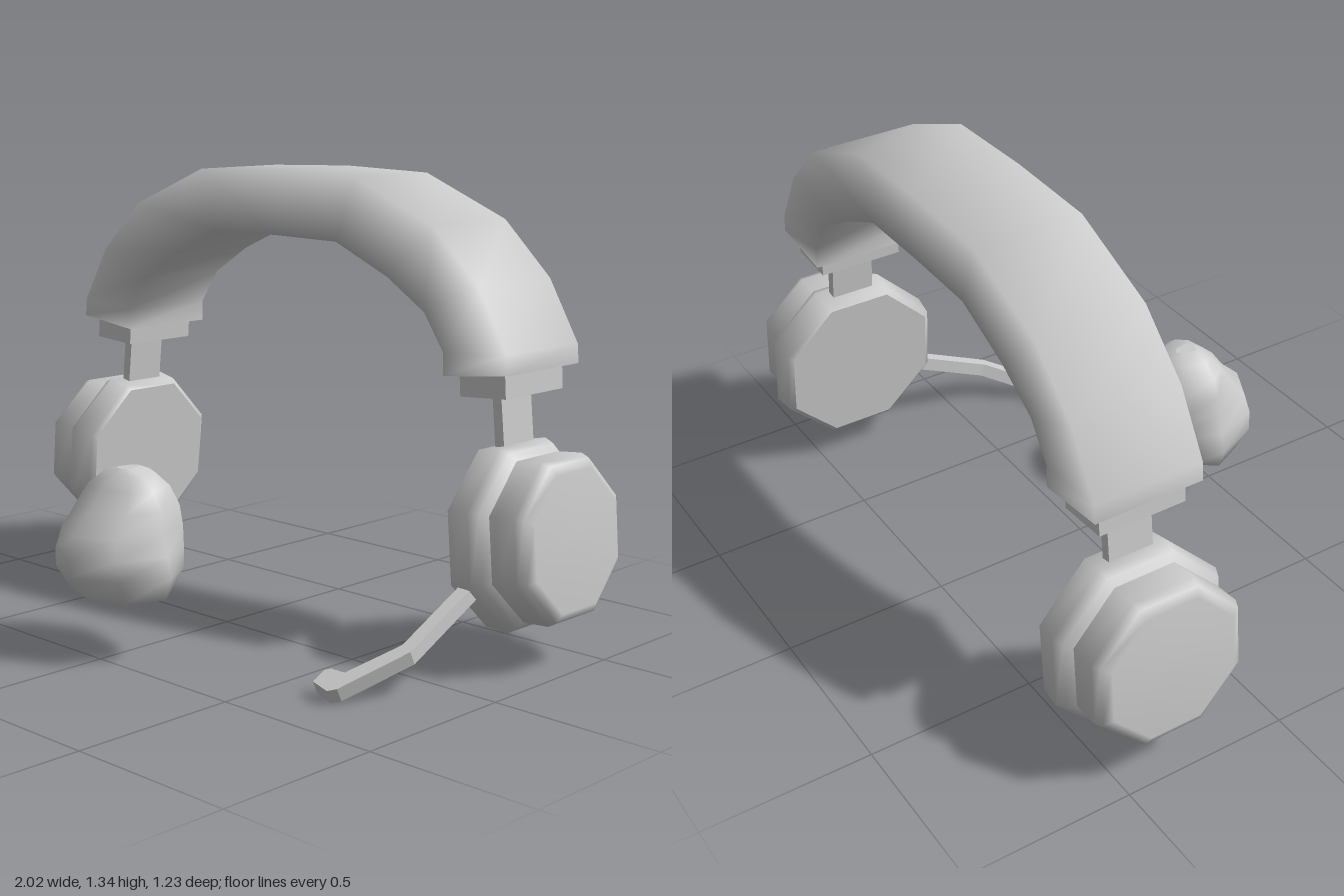
import * as THREE from 'three';

const material = new THREE.MeshStandardMaterial({ color: 0xcccccc });
const MID_Z = -0.36;

function add(parent, name, geometry, position = [0, 0, 0], tilt = 0) {
  const mesh = new THREE.Mesh(geometry, material);
  mesh.name = name;
  mesh.position.set(...position);
  mesh.rotation.z = tilt;
  parent.add(mesh);
  return mesh;
}

// Smooth skin through rings of equal length, with hard-edged end caps
function loft(rings) {
  const n = rings[0].length;
  const pos = rings.flat(2);
  const index = [];
  for (let r = 0; r < rings.length - 1; r++) {
    for (let i = 0; i < n; i++) {
      const a = r * n + i, b = r * n + (i + 1) % n;
      index.push(a, b, b + n, a, b + n, a + n);
    }
  }
  for (const [ring, flip] of [[rings[0], true], [rings[rings.length - 1], false]]) {
    const base = pos.length / 3;
    pos.push(...ring.flat());
    for (let i = 1; i < n - 1; i++) {
      if (flip) index.push(base, base + i + 1, base + i);
      else index.push(base, base + i, base + i + 1);
    }
  }
  const g = new THREE.BufferGeometry();
  g.setAttribute('position', new THREE.Float32BufferAttribute(pos, 3));
  g.setIndex(index);
  g.computeVertexNormals();
  return g;
}

// Padded band: outer x, y and inner x, y from the left end to the crown
function bandGeometry() {
  const half = [
    [0.865, 0.83, 0.645, 0.805],
    [0.86, 0.885, 0.645, 0.87],
    [0.76, 1.06, 0.575, 0.975],
    [0.6, 1.215, 0.44, 1.062],
    [0.31, 1.335, 0.245, 1.148],
    [0, 1.344, 0, 1.152],
  ];
  const mirrored = half.slice(0, -1).reverse().map(([a, b, c, d]) => [-a, b, -c, d]);
  const front = -0.197, back = -0.523;
  return loft([...half, ...mirrored].map(([ox, oy, ix, iy]) =>
    [[ox, oy, front], [ox, oy, back], [ix, iy, back], [ix, iy, front]]));
}

// Eight-sided turned part lying along x; the profile gives flat-side radius and depth
function octagonGeometry(profile) {
  const points = profile.map(([r, d]) => new THREE.Vector2(r / Math.cos(Math.PI / 8), d));
  return new THREE.LatheGeometry(points, 8, Math.PI / 8).rotateZ(-Math.PI / 2);
}

// Rounded nose, stacked from level rings: y, back z, front z, half width
function noseGeometry() {
  const mid = 0.405, sides = 8;
  const levels = [
    [0.14, 0.375, 0.43, 0.02],
    [0.192, 0.315, 0.55, 0.17],
    [0.26, 0.265, 0.6, 0.195],
    [0.315, 0.248, 0.613, 0.178],
    [0.375, 0.236, 0.595, 0.16],
    [0.435, 0.245, 0.53, 0.15],
    [0.49, 0.275, 0.49, 0.125],
    [0.525, 0.31, 0.45, 0.08],
    [0.54, 0.35, 0.42, 0.025],
  ];
  return loft(levels.map(([y, back, front, w]) =>
    Array.from({ length: sides }, (_, i) => {
      const t = (i / sides) * Math.PI * 2, s = Math.sin(t);
      return [w * Math.cos(t), y, mid - s * (s > 0 ? mid - back : front - mid)];
    })));
}

// Bent bar cut as a flat outline, then sloped forward and down
function microphoneGeometry() {
  const slope = 0.445;
  const outline = [
    [0.785, -0.16], [0.825, -0.16], [0.825, 0.13], [0.725, 0.305], [0.703, 0.32],
    [0.64, 0.305], [0.64, 0.26], [0.655, 0.25], [0.702, 0.25], [0.785, 0.115],
  ];
  const shape = new THREE.Shape(outline.map(([x, z]) => new THREE.Vector2(x, z / Math.cos(slope))));
  return new THREE.ExtrudeGeometry(shape, { depth: 0.042, bevelEnabled: false })
    .translate(0, 0, -0.021)
    .rotateX(Math.PI / 2 + slope)
    .translate(0, 0.176, 0);
}

export function createModel() {
  const model = new THREE.Group();
  model.name = 'headset';

  add(model, 'headband', bandGeometry());

  const clamp = new THREE.BoxGeometry(0.155, 0.08, 0.262);
  const slider = new THREE.BoxGeometry(0.03, 0.26, 0.136);
  const pad = octagonGeometry([
    [0, 0], [0.235, 0], [0.235, 0], [0.25, 0.012], [0.259, 0.085], [0.245, 0.115], [0.22, 0.135],
  ]);
  const shell = octagonGeometry([
    [0.222, 0.1], [0.225, 0.15], [0.226, 0.215], [0.215, 0.24], [0.19, 0.255], [0, 0.257],
  ]);

  // Both sides are the same assembly, turned half round
  for (const [side, turn] of [['left', 0], ['right', Math.PI]]) {
    const arm = new THREE.Group();
    arm.name = side + 'Earphone';
    arm.position.z = MID_Z;
    arm.rotation.y = turn;
    add(arm, 'clamp', clamp, [0.757, 0.794, 0], 0.07);
    add(arm, 'slider', slider, [0.766, 0.69, 0], 0.1);
    const cup = new THREE.Group();
    cup.name = 'earCup';
    cup.position.set(0.738, 0.352, 0);
    cup.rotation.z = 0.085;
    add(cup, 'earPad', pad);
    add(cup, 'earShell', shell);
    arm.add(cup);
    model.add(arm);
  }

  add(model, 'microphone', microphoneGeometry());
  add(model, 'nose', noseGeometry());
  return model;
}
